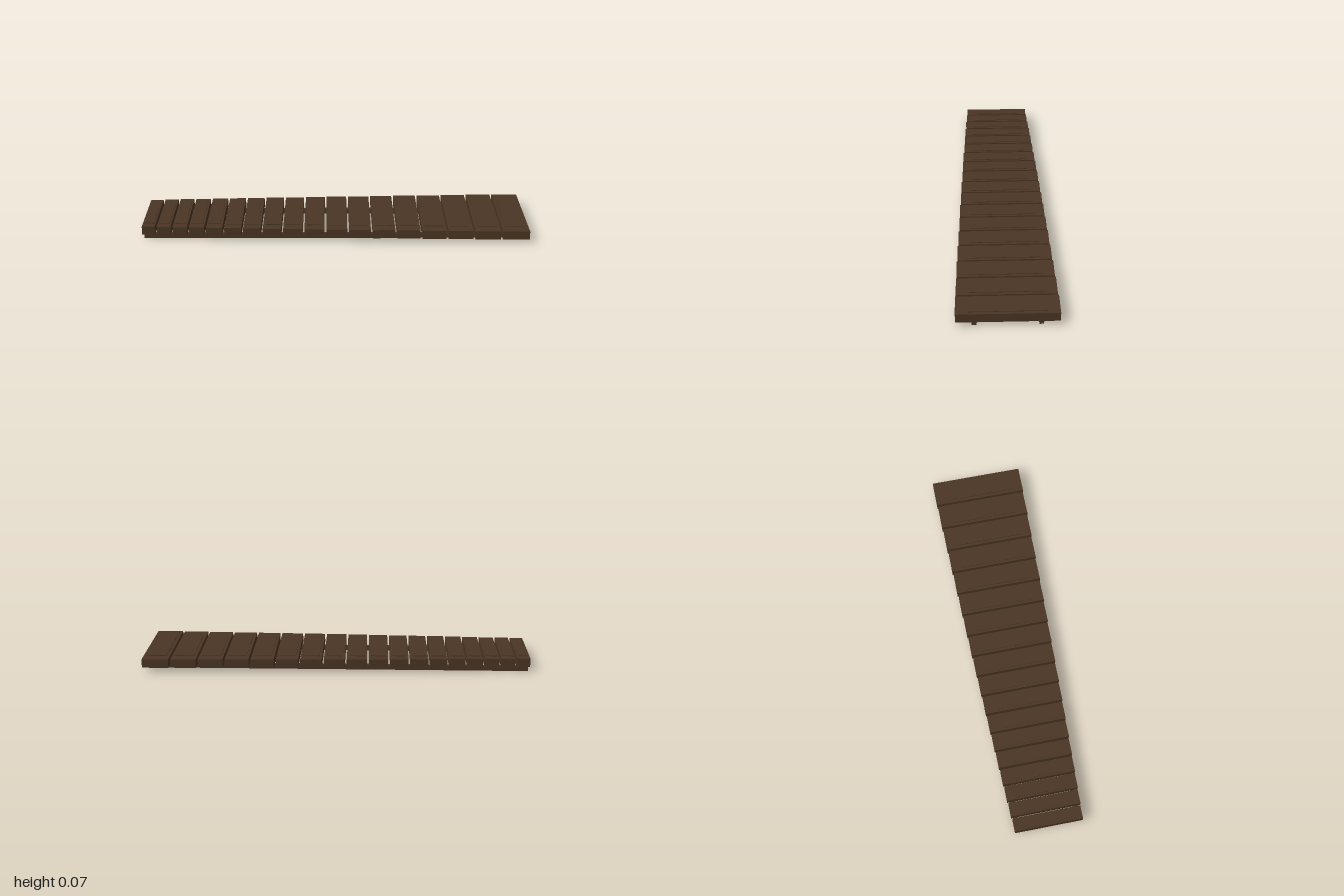
import * as THREE from 'three';

export function createModel() {
  const model = new THREE.Group();
  const wood = new THREE.MeshStandardMaterial({ color: 0x4a3624 });
  wood.name = 'darkWood';

  const box = (parent, name, w, h, d, x, y, z) => {
    const mesh = new THREE.Mesh(new THREE.BoxGeometry(w, h, d), wood);
    mesh.name = name;
    mesh.position.set(x, y, z);
    parent.add(mesh);
  };

  // Graduated bars, each wider and longer than the one before
  const count = 18, gap = 0.0107, railTop = 0.024, barTop = 0.0695, top = 0.073;
  const start = i => -1 + 0.0756 * i + 0.002 * i * i;
  for (let i = 0; i < count; i++) {
    const x0 = start(i);
    const x1 = i === count - 1 ? 1 : start(i + 1) - gap;
    const w = x1 - x0, x = (x0 + x1) / 2;
    const d = 2 * THREE.MathUtils.lerp(0.174, 0.243, i / (count - 1));
    const bar = new THREE.Group();
    bar.name = `bar${i + 1}`;
    box(bar, 'barBody', w, barTop - railTop, d, x, (barTop + railTop) / 2, 0);
    // Raised panel on the playing face
    box(bar, 'raisedPanel', w * 0.76, top - barTop, d * 0.76, x, (top + barTop) / 2, 0);
    model.add(bar);
  }

  // Two long rails carrying the bars
  for (const side of [-1, 1]) {
    box(model, side > 0 ? 'frontRail' : 'backRail', 1.98, railTop, 0.022, 0, railTop / 2, side * 0.156);
  }
  return model;
}
